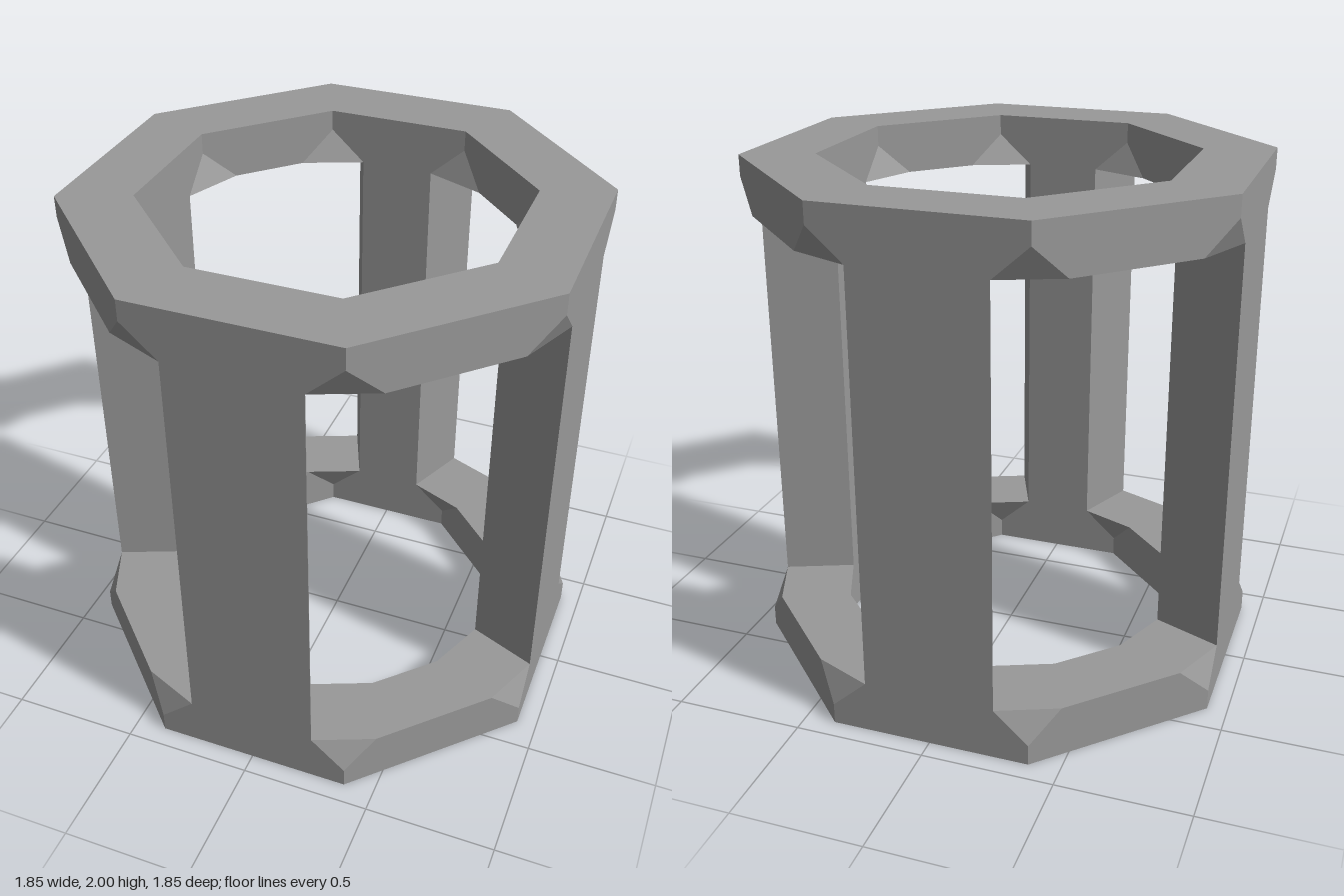
import * as THREE from 'three';

const OUTER = 1, INNER = 0.72, CUT = 0.133;
const TOP = 2, APEX = 1.92, UNDER = 1.8, FOOT = 0.2;

// Octagon corner that starts side k
const corner = (k, r, y) => {
  const a = (k - 0.5) * Math.PI / 4;
  return new THREE.Vector3(r * Math.sin(a), y, r * Math.cos(a));
};

// Start and end points of side k, set in from its corners by CUT
const cutPoints = (k, r, y) => {
  const a = corner(k, r, y), b = corner(k + 1, r, y);
  const step = b.clone().sub(a).setLength(CUT);
  return [a.add(step), b.sub(step)];
};

// Flat-faced geometry from convex polygons
function facets(polygons) {
  const pts = [];
  for (const p of polygons)
    for (let i = 1; i < p.length - 1; i++) pts.push(p[0], p[i], p[i + 1]);
  const g = new THREE.BufferGeometry().setFromPoints(pts);
  g.computeVertexNormals();
  return g;
}

function ringGeometry() {
  const polys = [];
  for (let k = 0; k < 8; k++) {
    const cuts = [];
    for (const r of [OUTER, INNER]) {
      const [a, b] = cutPoints(k, r, UNDER);
      const next = cutPoints(k + 1, r, UNDER)[0];
      // wall panel and the small triangular facet at its corner
      const wall = [a, b, corner(k + 1, r, APEX), corner(k + 1, r, TOP), corner(k, r, TOP), corner(k, r, APEX)];
      const chip = [corner(k + 1, r, APEX), b, next];
      if (r === INNER) { wall.reverse(); chip.reverse(); }
      polys.push(wall, chip);
      cuts.push([a, b, next]);
    }
    // flat end face
    polys.push([corner(k, OUTER, TOP), corner(k + 1, OUTER, TOP), corner(k + 1, INNER, TOP), corner(k, INNER, TOP)]);
    // face towards the openings, left out where a pillar joins
    const [[a, b, n], [ia, ib, inn]] = cuts;
    polys.push([ib, inn, n, b]);
    if (k % 2) polys.push([ia, ib, b, a]);
  }
  return facets(polys);
}

// Tapered pillar, narrower on the inside
function pillarGeometry() {
  const section = y => {
    const [a, b] = cutPoints(0, OUTER, y), [ia, ib] = cutPoints(0, INNER, y);
    return [a, b, ib, ia];
  };
  const low = section(FOOT), high = section(UNDER);
  return facets(low.map((p, i) => {
    const j = (i + 1) % 4;
    return [p, low[j], high[j], high[i]];
  }));
}

export function createModel() {
  const group = new THREE.Group();
  group.name = 'octagonalFrame';
  const grey = new THREE.MeshStandardMaterial({ color: 0x999999 });
  grey.name = 'grey';

  const add = (geometry, name) => {
    const mesh = new THREE.Mesh(geometry, grey);
    mesh.name = name;
    group.add(mesh);
    return mesh;
  };

  const ring = ringGeometry();
  add(ring, 'topRing');
  const bottom = add(ring, 'bottomRing');
  bottom.rotation.x = Math.PI;
  bottom.position.y = TOP;

  const pillar = pillarGeometry();
  ['frontPillar', 'leftPillar', 'backPillar', 'rightPillar'].forEach((name, i) => {
    add(pillar, name).rotation.y = i * Math.PI / 2;
  });
  return group;
}
